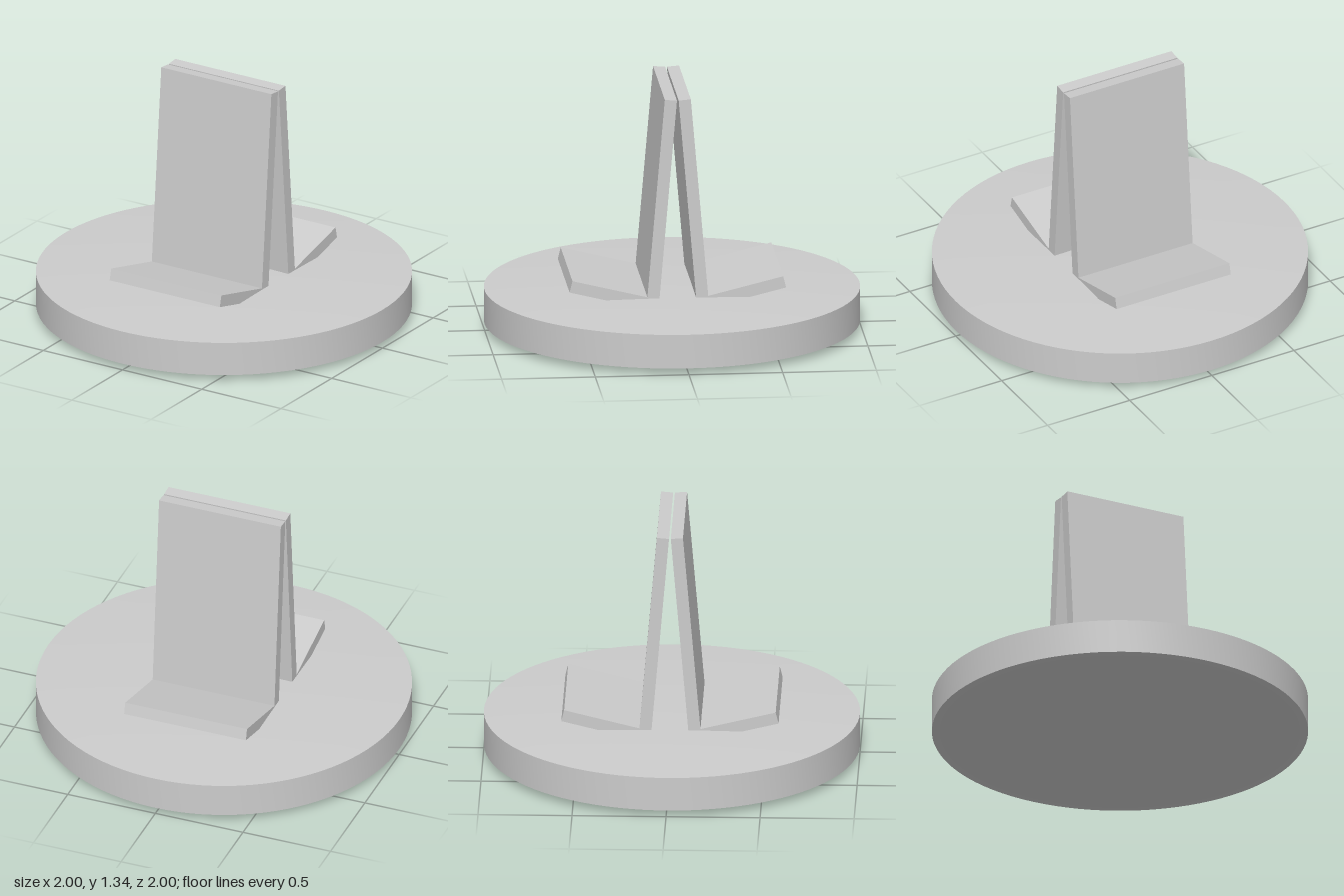
import * as THREE from 'three';
import { toCreasedNormals } from 'three/addons/utils/BufferGeometryUtils.js';

const material = new THREE.MeshStandardMaterial({ color: 0xcccccc });

// Flat slab running from a to b (z, y) along its centre line
function slab(name, a, b, thickness) {
  const dz = b[0] - a[0], dy = b[1] - a[1];
  const mesh = new THREE.Mesh(new THREE.BoxGeometry(0.695, thickness, Math.hypot(dz, dy)), material);
  mesh.position.set(-0.004, (a[1] + b[1]) / 2, (a[0] + b[0]) / 2);
  mesh.rotation.x = -Math.atan2(dy, dz);
  mesh.name = name;
  return mesh;
}

export function createModel() {
  const model = new THREE.Group();
  model.name = 'backToBackSeats';

  // Round base with a gently domed top and underside
  const profile = [];
  const steps = 8;
  for (let i = 0; i <= steps; i++) {
    const r = i / steps;
    profile.push(new THREE.Vector2(r, 0.035 * r * r));
  }
  for (let i = steps; i >= 0; i--) {
    const r = i / steps;
    profile.push(new THREE.Vector2(r, 0.22 + 0.03 * (1 - r * r)));
  }
  const base = new THREE.Mesh(toCreasedNormals(new THREE.LatheGeometry(profile, 96), 0.6), material);
  base.name = 'base';
  model.add(base);

  // Two mirrored seats, backrests leaning together at the top
  for (const [side, s] of [['front', 1], ['back', -1]]) {
    const seat = new THREE.Group();
    seat.name = side + 'Seat';
    seat.add(
      slab('backrest', [s * 0.131, 0.238], [s * 0.037, 1.335], 0.065),
      slab('seatPanel', [s * 0.13, 0.213], [s * 0.57, 0.321], 0.064)
    );
    model.add(seat);
  }
  return model;
}
